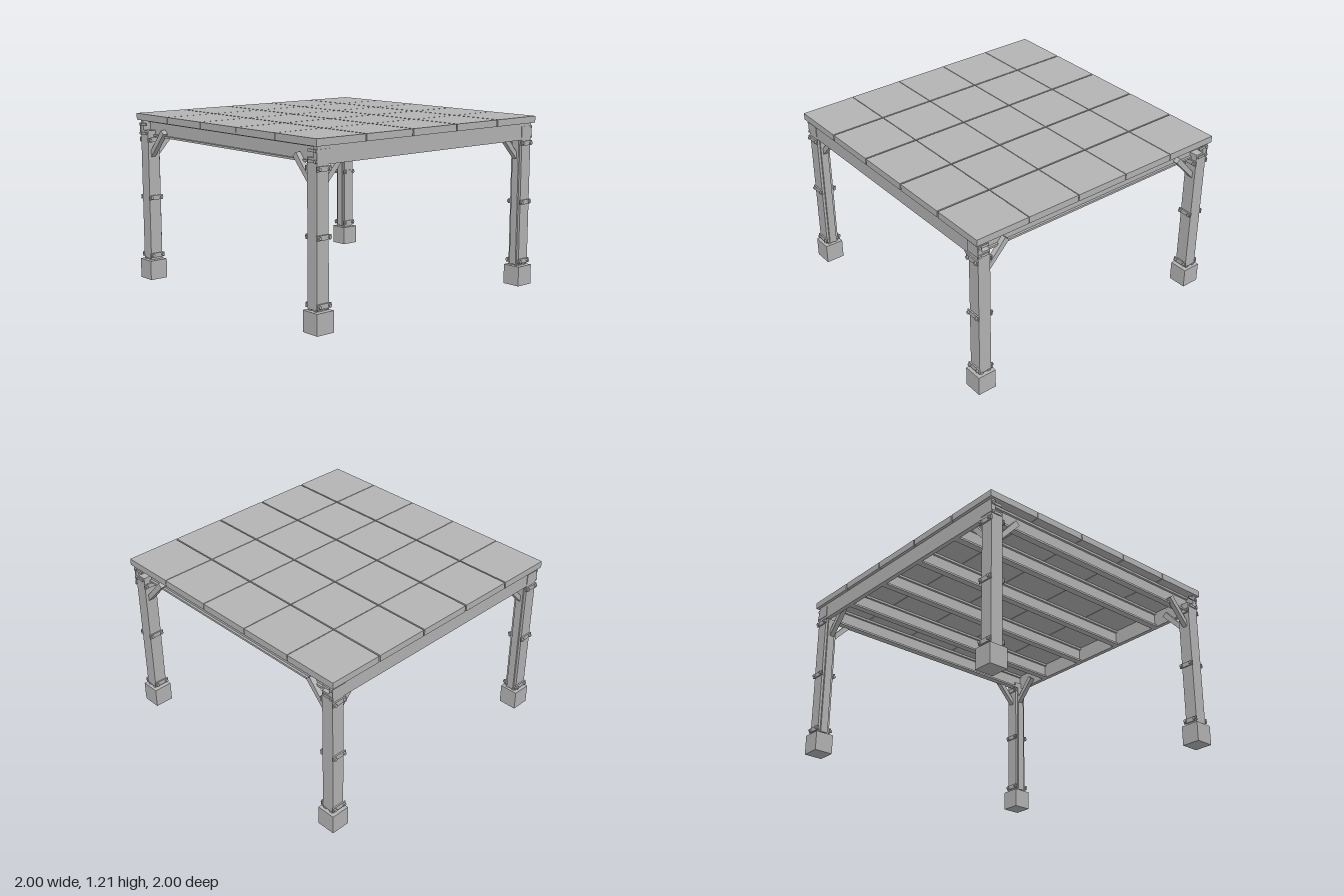
import * as THREE from 'three';

export function createModel() {
  const model = new THREE.Group();
  const grey = new THREE.MeshStandardMaterial({ color: 0xb3b3b3 });
  grey.name = 'plain grey';

  // Box given by its extents on each axis
  function box(parent, name, [x0, x1], [y0, y1], [z0, z1]) {
    const mesh = new THREE.Mesh(new THREE.BoxGeometry(Math.abs(x1 - x0), y1 - y0, Math.abs(z1 - z0)), grey);
    mesh.position.set((x0 + x1) / 2, (y0 + y1) / 2, (z0 + z1) / 2);
    mesh.name = name;
    parent.add(mesh);
    return mesh;
  }

  // Hexagonal bolt head along x or z
  function bolt(parent, x, y, z, axis, length = 0.014) {
    const mesh = new THREE.Mesh(new THREE.CylinderGeometry(0.011, 0.011, length, 8), grey);
    mesh.rotation[axis === 'z' ? 'x' : 'z'] = Math.PI / 2;
    mesh.position.set(x, y, z);
    mesh.name = 'bolt';
    parent.add(mesh);
  }

  // Diagonal brace with upright lower end and square upper end
  const braceShape = new THREE.Shape();
  [[0.89, 0.893], [0.89, 0.94], [0.752, 1.098], [0.722, 1.072]].forEach(([u, y], i) =>
    i ? braceShape.lineTo(u, y) : braceShape.moveTo(u, y));
  function brace(parent, name, turn, x, z) {
    const geometry = new THREE.ExtrudeGeometry(braceShape, { depth: 0.036, bevelEnabled: false });
    geometry.translate(0, 0, -0.018);
    const mesh = new THREE.Mesh(geometry, grey);
    mesh.rotation.y = turn;
    mesh.position.set(x, 0, z);
    mesh.name = name;
    parent.add(mesh);
  }

  // Four corners, mirrored through sx and sz
  for (const sx of [-1, 1]) for (const sz of [-1, 1]) {
    const corner = new THREE.Group();
    corner.name = 'cornerPost';
    const part = (name, x, y, z) => box(corner, name, x.map(v => v * sx), y, z.map(v => v * sz));

    part('footing', [0.865, 1], [0, 0.14], [0.865, 1]);
    part('post', [0.888, 0.98], [0.15, 1.042], [0.887, 0.978]);
    part('postTop', [0.888, 0.98], [1.042, 1.085], [0.887, 0.955]);
    part('innerBatten', [0.876, 0.888], [0.15, 1.04], [0.905, 0.96]);
    part('baseShim', [0.9, 0.965], [0.14, 0.15], [0.9, 0.965]);

    // Clamp bands on the front and back of the post
    for (const y of [0.175, 0.6, 1.018]) {
      for (const [z0, z1, zb] of [[0.978, 0.988, 0.992], [0.877, 0.887, 0.873]]) {
        part('clampBand', [0.875, 0.987], [y - 0.016, y + 0.016], [z0, z1]);
        for (const x of [0.89, 0.97]) bolt(corner, x * sx, y, zb * sz, 'z');
      }
    }
    for (const z of [0.905, 0.96])
      part('baseClip', [0.88, 0.982], [0.143, 0.155], [z - 0.01, z + 0.01]);

    // Joint hardware at the beam ends
    part('jointPlate', [0.88, 0.985], [1.06, 1.137], [0.979, 0.983]);
    for (const y of [1.063, 1.128]) {
      part('endClamp', [0.978, 0.987], [y - 0.009, y + 0.009], [0.9, 0.985]);
      bolt(corner, 0.986 * sx, y, 0.97 * sz, 'x');
    }

    // Braces towards the neighbouring posts
    brace(corner, 'crossBrace', sx > 0 ? 0 : Math.PI, 0, 0.925 * sz);
    brace(corner, 'sideBrace', sz > 0 ? -Math.PI / 2 : Math.PI / 2, 0.94 * sx, 0);
    model.add(corner);
  }

  // Front and back beams
  for (const s of [-1, 1])
    box(model, s > 0 ? 'frontBeam' : 'backBeam', [-0.98, 0.98], [1.042, 1.158], [0.947 * s, 0.979 * s]);

  // Joists of I section under the panel seams and along both sides
  for (const x of [-0.91, -0.6, -0.2, 0.2, 0.6, 0.91]) {
    const joist = new THREE.Group();
    joist.name = 'joist';
    box(joist, 'lowerFlange', [x - 0.025, x + 0.025], [1.042, 1.056], [-0.947, 0.947]);
    box(joist, 'web', [x - 0.009, x + 0.009], [1.056, 1.142], [-0.947, 0.947]);
    box(joist, 'upperFlange', [x - 0.025, x + 0.025], [1.142, 1.158], [-0.947, 0.947]);
    model.add(joist);
  }

  // Five by five roof panels
  for (let i = -2; i <= 2; i++) for (let j = -2; j <= 2; j++) {
    const x = i * 0.402, z = j * 0.401;
    box(model, 'roofPanel', [x - 0.196, x + 0.196], [1.158, 1.205], [z - 0.198, z + 0.198]);
  }
  return model;
}
